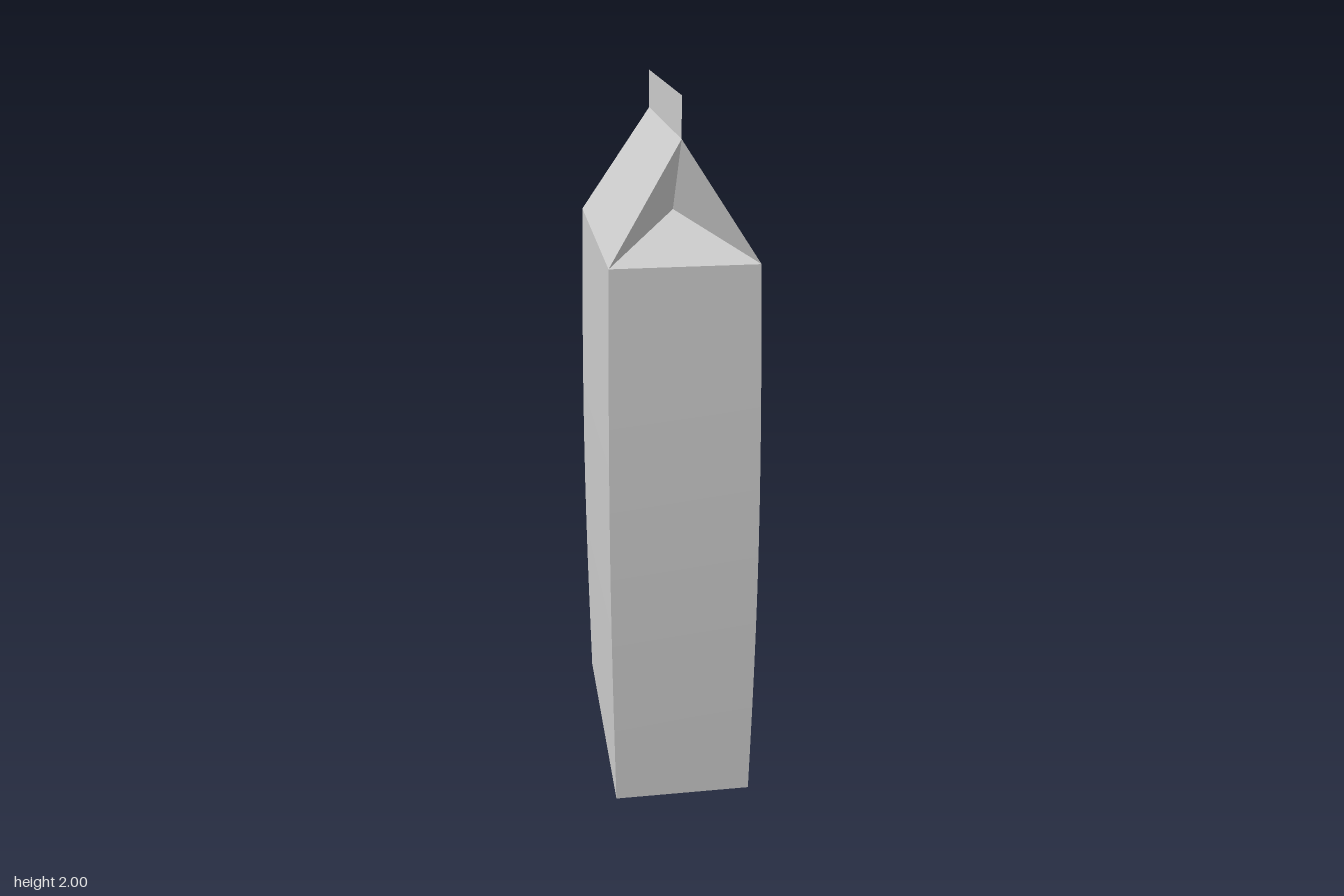
import * as THREE from 'three';

// Main carton dimensions (half width, half depth, heights)
const W = 0.196, D = 0.385, SHOULDER = 1.585;
const RIDGE = 1.893, RIDGE_Z = 0.31, TOP = 2;
const BULGE_X = 0.009, BULGE_Z = 0.017;

const material = new THREE.MeshStandardMaterial({ color: 0xcccccc, side: THREE.DoubleSide });

// Flat card panel from three or four corners, counter-clockwise from outside
function panel(name, ...corners) {
  const geometry = new THREE.BufferGeometry().setFromPoints(corners.map((c) => new THREE.Vector3(...c)));
  geometry.setIndex(corners.length === 4 ? [0, 1, 2, 0, 2, 3] : [0, 1, 2]);
  geometry.computeVertexNormals();
  const mesh = new THREE.Mesh(geometry, material);
  mesh.name = name;
  return mesh;
}

// Square-cornered box, open at the top, with gently bulging walls
function createBody() {
  const geometry = new THREE.BoxGeometry(2, SHOULDER, 2, 1, 12, 1);
  geometry.translate(0, SHOULDER / 2, 0);
  const pos = geometry.attributes.position;
  for (let i = 0; i < pos.count; i++) {
    const swell = Math.sin((Math.PI * pos.getY(i)) / SHOULDER);
    pos.setX(i, pos.getX(i) * (W + BULGE_X * swell));
    pos.setZ(i, pos.getZ(i) * (D + BULGE_Z * swell));
  }
  // Drop the lid, which the folded roof replaces
  const lid = geometry.groups[2];
  const index = Array.from(geometry.index.array);
  index.splice(lid.start, lid.count);
  geometry.setIndex(index);
  geometry.clearGroups();
  geometry.computeVertexNormals();
  const mesh = new THREE.Mesh(geometry, material);
  mesh.name = 'body';
  return mesh;
}

// One roof slope plus one tucked-in gable end
function createRoofHalf() {
  const left = [W, SHOULDER, D], right = [-W, SHOULDER, D];
  const ridge = [0, RIDGE, RIDGE_Z], tuck = [0, 1.688, 0.165];
  const half = new THREE.Group();
  half.add(
    panel('roofSlope', left, [W, SHOULDER, -D], [0, RIDGE, -RIDGE_Z], ridge),
    panel('gableFloor', right, left, tuck),
    panel('gableFoldLeft', left, ridge, tuck),
    panel('gableFoldRight', right, tuck, ridge),
  );
  return half;
}

export function createModel() {
  const carton = new THREE.Group();
  carton.name = 'carton';
  carton.add(createBody());

  // Two identical roof halves, turned back to back
  ['roofFront', 'roofBack'].forEach((name, i) => {
    const half = createRoofHalf();
    half.name = name;
    half.rotation.y = i * Math.PI;
    carton.add(half);
  });

  // Thin sealed fin along the ridge
  carton.add(panel('topSeal',
    [0, RIDGE, RIDGE_Z], [0, RIDGE, -RIDGE_Z], [0, TOP, -RIDGE_Z], [0, TOP, RIDGE_Z]));
  return carton;
}
